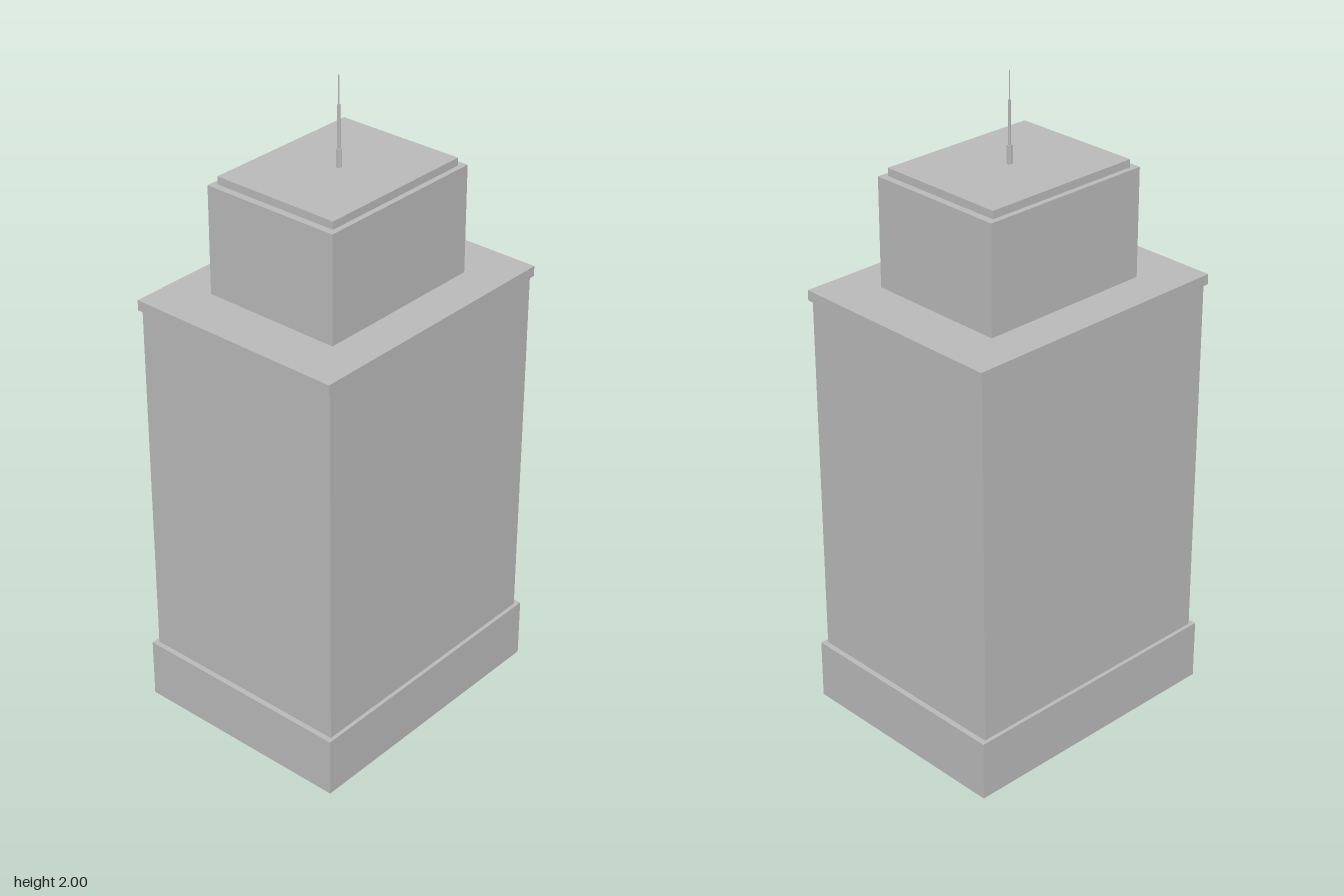
import * as THREE from 'three';

export function createModel() {
  const model = new THREE.Group();
  model.name = 'tower';
  const concrete = new THREE.MeshStandardMaterial({ color: 0xb8b8b8 });
  concrete.name = 'concrete grey';

  const add = (name, geometry, y) => {
    const mesh = new THREE.Mesh(geometry, concrete);
    mesh.name = name;
    mesh.position.y = y;
    model.add(mesh);
  };

  // Stacked storeys: name, width, depth, bottom, top
  const blocks = [
    ['base', 0.898, 0.718, 0, 0.19],
    ['shaft', 0.864, 0.694, 0.19, 1.34],
    ['cornice', 0.886, 0.706, 1.34, 1.372],
    ['penthouse', 0.566, 0.45, 1.372, 1.706],
    ['penthouseCap', 0.522, 0.416, 1.706, 1.73],
  ];
  for (const [name, w, d, y0, y1] of blocks) {
    add(name, new THREE.BoxGeometry(w, y1 - y0, d), (y0 + y1) / 2);
  }

  // Stepped six-sided mast: name, radius, bottom, top
  const mast = [
    ['mastFoot', 0.008, 1.73, 1.785],
    ['mastPole', 0.0045, 1.785, 1.915],
    ['mastTip', 0.002, 1.915, 2.0],
  ];
  for (const [name, r, y0, y1] of mast) {
    const geometry = new THREE.CylinderGeometry(r, r, y1 - y0, 6).toNonIndexed();
    geometry.computeVertexNormals();
    add(name, geometry, (y0 + y1) / 2);
  }

  return model;
}
